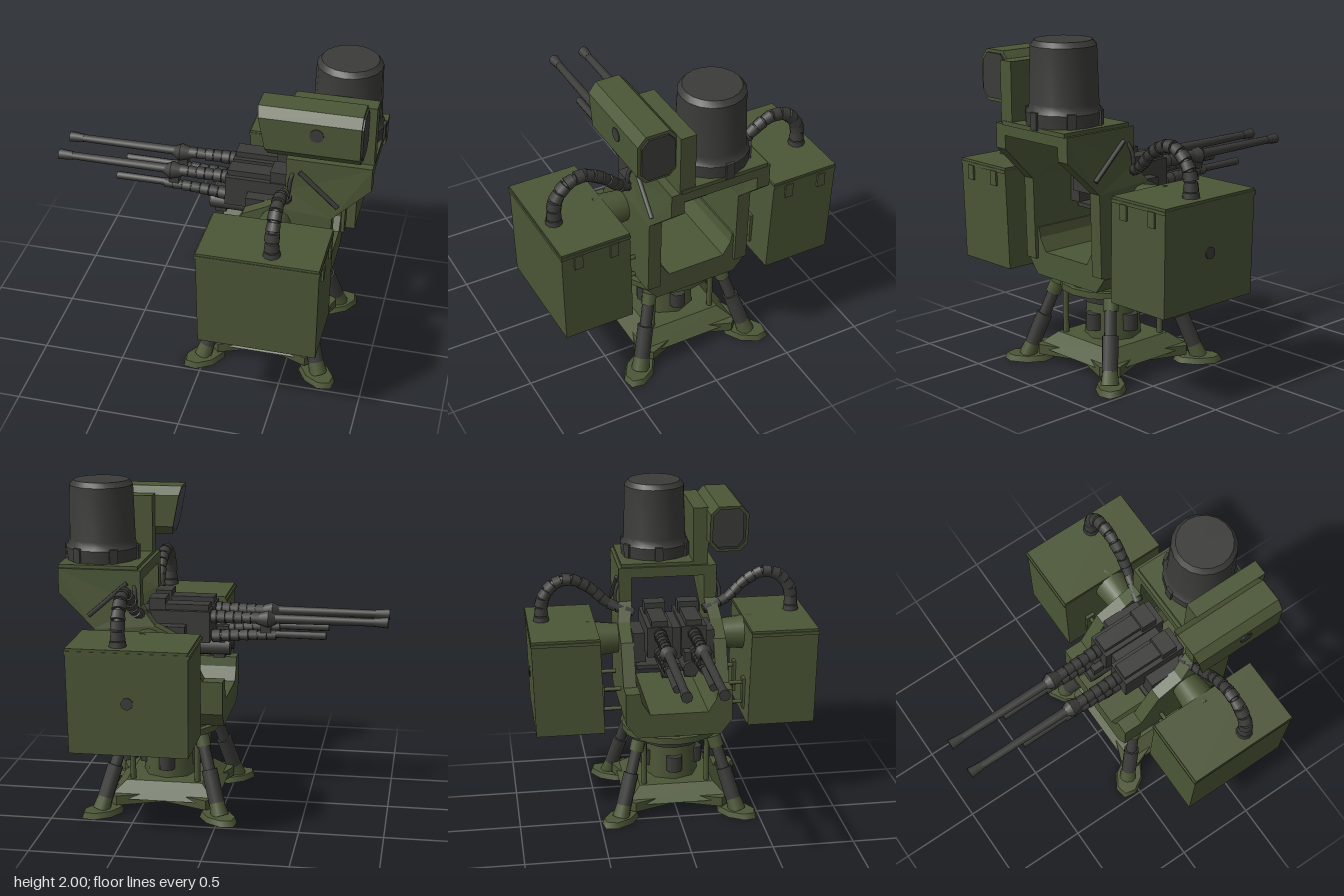
import * as THREE from 'three';
import { toCreasedNormals } from 'three/addons/utils/BufferGeometryUtils.js';

const V = (x, y, z) => new THREE.Vector3(x, y, z);

export function createModel() {
  const model = new THREE.Group();
  const olive = new THREE.MeshStandardMaterial({ color: 0x4b5636 });
  olive.name = 'olive paint';
  const dark = new THREE.MeshStandardMaterial({ color: 0x3b3b39 });
  dark.name = 'gunmetal';

  const add = (name, geo, mat, parent = model) => {
    const m = new THREE.Mesh(geo, mat);
    m.name = name;
    parent.add(m);
    return m;
  };
  // box given by its limits on each axis
  const box = (name, x0, x1, y0, y1, z0, z1, mat) => {
    const g = new THREE.BoxGeometry(x1 - x0, y1 - y0, z1 - z0);
    g.translate((x0 + x1) / 2, (y0 + y1) / 2, (z0 + z1) / 2);
    return add(name, g, mat);
  };
  // cylinder between two points, r0 at a and r1 at b
  const rod = (name, a, b, r0, r1, mat, sides = 10, parent = model) => {
    const d = b.clone().sub(a);
    const m = add(name, new THREE.CylinderGeometry(r1, r0, d.length(), sides), mat, parent);
    m.position.copy(a).addScaledVector(d, 0.5);
    m.quaternion.setFromUnitVectors(V(0, 1, 0), d.normalize());
    return m;
  };
  const shapeOf = (pts) => new THREE.Shape(pts.map(([a, b]) => new THREE.Vector2(a, b)));
  // [z, y] outline swept along x
  const sweepX = (pts, x0, x1, hole) => {
    const flip = (l) => l.map(([z, y]) => [-z, y]);
    const s = shapeOf(flip(pts));
    if (hole) s.holes.push(shapeOf(flip(hole)));
    return new THREE.ExtrudeGeometry(s, { depth: x1 - x0, bevelEnabled: false }).rotateY(Math.PI / 2).translate(x0, 0, 0);
  };
  // chain of uneven cuffs along a curve
  const ribbed = (name, pts, n, r0, r1) => {
    const group = new THREE.Group();
    group.name = name;
    model.add(group);
    const curve = new THREE.CatmullRomCurve3(pts);
    add('core', new THREE.TubeGeometry(curve, 32, Math.min(r0, r1) * 0.8, 8), dark, group);
    for (let i = 0; i < n; i++) {
      const a = curve.getPointAt(i / n), b = curve.getPointAt((i + 0.9) / n);
      const r = r0 + (r1 - r0) * (i / n);
      rod('cuff', a, b, r, r * (i % 2 ? 0.86 : 0.95), dark, 9, group);
    }
  };
  const CX = 0.355; // axis of the stand

  // Stand: star shaped plate with a raised deck
  const star = [];
  for (let i = 0; i < 4; i++) {
    const a = (i * Math.PI) / 2 + Math.PI / 4;
    for (const [da, r] of [[-0.13, 0.45], [0.13, 0.45], [Math.PI / 4, 0.25]])
      star.push([Math.cos(a + da) * r, Math.sin(a + da) * r]);
  }
  const plate = new THREE.ExtrudeGeometry(shapeOf(star), { depth: 0.06, bevelEnabled: false });
  plate.rotateX(-Math.PI / 2).translate(CX, 0.05, 0);
  add('basePlate', plate, olive);
  const deck = new THREE.CylinderGeometry(0.33, 0.47, 0.09, 4).rotateY(Math.PI / 4).translate(CX, 0.13, 0);
  add('baseDeck', deck.toNonIndexed(), olive).geometry.computeVertexNormals();

  // Feet, struts and posts at the four corners
  for (const sx of [-1, 1]) for (const sz of [-1, 1]) {
    const foot = add('footPad', new THREE.CylinderGeometry(0.11, 0.125, 0.035, 8), olive);
    foot.scale.set(1.2, 1, 0.72);
    foot.rotation.y = -sz * sx * Math.PI / 4;
    foot.position.set(CX + sx * 0.355, 0.018, sz * 0.37);
    const low = V(CX + sx * 0.355, 0.06, sz * 0.36), top = V(CX + sx * 0.235, 0.48, sz * 0.24);
    const at = (t) => low.clone().lerp(top, t);
    rod('footAnkle', at(-0.08), at(0.12), 0.055, 0.045, olive);
    rod('strutSleeve', at(0.1), at(0.55), 0.048, 0.048, dark);
    rod('strutRod', at(0.55), at(0.9), 0.036, 0.036, dark);
    rod('strutHinge', at(0.86), at(1.02), 0.045, 0.045, olive, 8);
    rod('deckPost', V(CX + sx * 0.2, 0.16, sz * 0.2), V(CX + sx * 0.2, 0.5, sz * 0.2), 0.018, 0.018, olive, 8);
  }

  // Drive unit inside the stand
  rod('driveHousing', V(CX, 0.17, 0), V(CX, 0.48, 0), 0.17, 0.15, olive, 8);
  for (let i = 0; i < 4; i++) {
    const a = (i * Math.PI) / 2;
    rod('driveMotor', V(CX + Math.cos(a) * 0.15, 0.23, Math.sin(a) * 0.15),
      V(CX + Math.cos(a) * 0.15, 0.33, Math.sin(a) * 0.15), 0.05, 0.05, dark, 8);
  }
  rod('driveCollar', V(CX, 0.4, 0), V(CX, 0.47, 0), 0.19, 0.2, dark, 12);
  rod('turntable', V(CX, 0.475, 0), V(CX, 0.515, 0), 0.315, 0.315, olive, 16);
  rod('turntableNeck', V(CX, 0.515, 0), V(CX, 0.565, 0), 0.28, 0.28, olive, 16);

  // Cradle: trough below, two side walls rising into the head
  add('cradleTrough', sweepX([[-0.26, 0.56], [0.26, 0.56], [0.33, 0.65], [0.33, 0.85], [0.24, 0.85], [0.23, 0.79],
    [0.18, 0.71], [-0.18, 0.71], [-0.23, 0.79], [-0.24, 0.85], [-0.33, 0.85], [-0.33, 0.65]], -0.02, 0.72), olive);
  const wall = [[-0.02, 0.66], [0.1, 0.85], [0.22, 1.1], [0.38, 1.18], [0.47, 1.29], [0.47, 1.5],
    [0.965, 1.5], [0.965, 1.36], [0.75, 1.15], [0.74, 0.66]];
  for (const s of [-1, 1]) {
    const g = new THREE.ExtrudeGeometry(shapeOf(wall), { depth: 0.08, bevelEnabled: false }).translate(0, 0, -0.04);
    const p = g.attributes.position;
    // walls lean inward towards the head
    for (let i = 0; i < p.count; i++)
      p.setZ(i, p.getZ(i) + s * (p.getY(i) > 1.19 ? 0.27 : 0.29));
    g.computeVertexNormals();
    add('cradleWall', g, olive);
    rod('trunnion', V(0.42, 1.07, s * 0.3), V(0.42, 1.07, s * 0.52), 0.09, 0.115, olive, 14);
    for (const x of [0.25, 0.57]) {
      for (const y of [0.66, 0.79]) rod('boxBracket', V(x, y, s * 0.31), V(x, y, s * 0.48), 0.014, 0.014, olive, 6);
      box('bracketFoot', x - 0.03, x + 0.03, 0.62, 0.82, s * 0.45 - 0.012, s * 0.45 + 0.012, olive);
    }
    const wire = new THREE.CatmullRomCurve3([V(0.52, 1.45, s * 0.27), V(0.5, 1.37, s * 0.325), V(0.49, 1.28, s * 0.33), V(0.46, 1.2, s * 0.27)]);
    add('headCable', new THREE.TubeGeometry(wire, 16, 0.012, 6), dark);
    rod('headStay', V(0.55, 1.43, s * 0.315), V(0.78, 1.23, s * 0.33), 0.014, 0.014, dark, 6);

    // Ammunition box, tapering slightly to the bottom
    const body = new THREE.BoxGeometry(0.7, 0.62, 0.42);
    const q = body.attributes.position;
    for (let i = 0; i < q.count; i++) if (q.getY(i) < 0) {
      q.setX(i, q.getX(i) * 0.985);
      q.setZ(i, s * q.getZ(i) > 0 ? s * 0.195 : -s * 0.23);
    }
    body.computeVertexNormals();
    add('ammoBox', body, olive).position.set(0.435, 0.87, s * 0.68);
    box('boxLid', 0.075, 0.79, 1.145, 1.165, s * 0.68 - 0.213, s * 0.68 + 0.213, olive);
    for (const z of [0.57, 0.79]) box('lidLatch', 0.77, 0.797, 1.06, 1.15, s * z - 0.025, s * z + 0.025, olive);

    // Feed hose arching from the box into the gun
    ribbed('feedHose', [V(0.5, 1.16, s * 0.8), V(0.5, 1.32, s * 0.79), V(0.5, 1.42, s * 0.71), V(0.5, 1.44, s * 0.61),
      V(0.5, 1.38, s * 0.49), V(0.49, 1.28, s * 0.38), V(0.45, 1.22, s * 0.22)], 15, 0.046, 0.032);
    rod('hoseSocket', V(0.5, 1.17, s * 0.8), V(0.5, 1.21, s * 0.8), 0.052, 0.046, dark);

    // Gun: barrel, flash hider, gas block, jacket and lower tube
    const z = s * 0.105;
    rod('barrel', V(-0.9, 1.195, z), V(-0.2, 1.195, z), 0.024, 0.03, dark);
    rod('flashHider', V(-0.975, 1.195, z), V(-0.89, 1.195, z), 0.034, 0.026, dark, 8);
    rod('gasBlock', V(-0.31, 1.19, z), V(-0.265, 1.19, z), 0.03, 0.055, dark, 8);
    rod('gasBlock', V(-0.265, 1.19, z), V(-0.2, 1.19, z), 0.055, 0.035, dark, 8);
    box('barrelLink', -0.28, -0.22, 1.09, 1.19, z - 0.022, z + 0.022, dark);
    ribbed('barrelJacket', [V(-0.21, 1.195, z), V(-0.05, 1.195, z), V(0.1, 1.195, z)], 6, 0.036, 0.045);
    rod('lowerTube', V(-0.61, 1.1, z), V(-0.3, 1.1, z), 0.024, 0.022, dark, 8);
    ribbed('lowerJacket', [V(-0.31, 1.095, z), V(-0.15, 1.09, z), V(0.08, 1.075, z)], 7, 0.03, 0.042);
    box('receiver', 0.08, 0.5, 1.05, 1.24, z - 0.078, z + 0.078, dark);
    box('receiverCover', 0.09, 0.4, 1.235, 1.275, z - 0.05, z + 0.05, dark);
    box('feedCover', 0.35, 0.45, 1.24, 1.31, z - 0.06, z + 0.07, dark);
    box('gunTrunnion', 0.22, 0.46, 0.97, 1.16, s * 0.215 - 0.04, s * 0.215 + 0.04, dark);
    rod('recoilBuffer', V(-0.03, 1.0, s * 0.07), V(0.42, 1.0, s * 0.07), 0.05, 0.055, dark, 8);
    box('bufferLug', 0.0, 0.07, 0.94, 1.1, s * 0.07 - 0.035, s * 0.07 + 0.035, dark);
  }
  box('gunBridge', 0.12, 0.44, 1.02, 1.22, -0.06, 0.06, dark);
  box('gunCradleBar', 0.2, 0.42, 0.93, 0.955, -0.235, 0.235, dark);
  add('boxPort', new THREE.CylinderGeometry(0.035, 0.035, 0.008, 14).rotateX(Math.PI / 2), dark)
    .position.set(0.435, 0.87, -0.886);

  // Head platform and radar drum
  box('headPlatform', 0.47, 0.965, 1.44, 1.505, -0.31, 0.31, olive);
  box('headDeck', 0.49, 0.97, 1.5, 1.525, -0.29, 0.25, olive);
  const drum = new THREE.LatheGeometry([[0, 1.5], [0.215, 1.5], [0.22, 1.6], [0.205, 1.62], [0.2, 1.65], [0.19, 1.97],
    [0.165, 2], [0, 2]].map(([r, y]) => new THREE.Vector2(r, y)), 18);
  add('radarDrum', toCreasedNormals(drum, 0.6), dark).position.set(0.755, 0, -0.045);
  for (let i = 0; i < 6; i++) {
    const a = (i * Math.PI) / 3;
    const lug = add('drumLug', new THREE.BoxGeometry(0.03, 0.1, 0.05), dark);
    lug.position.set(0.755 + Math.cos(a) * 0.212, 1.56, -0.045 + Math.sin(a) * 0.212);
    lug.rotation.y = -a;
  }

  // Sensor pod: hollow octagonal hood with a dark insert
  box('podMount', 0.49, 0.965, 1.5, 1.87, 0.165, 0.26, olive);
  const octagon = (k) => [[-1, -0.65], [-0.6, -1], [0.6, -1], [1, -0.65], [1, 0.65], [0.6, 1], [-0.6, 1], [-1, 0.65]]
    .map(([z, y]) => [0.37 + z * (0.12 - k), 1.762 + y * (0.15 - k)]);
  const hood = sweepX(octagon(0), 0.33, 0.915, octagon(0.018));
  const h = hood.attributes.position;
  for (let i = 0; i < h.count; i++) if (h.getX(i) < 0.5) h.setX(i, 0.33 + (1.912 - h.getY(i)) * 0.2);
  hood.computeVertexNormals();
  add('podHood', hood, olive);
  add('podInsert', sweepX(octagon(0.019), 0.42, 0.925), dark);
  add('podPort', new THREE.CylinderGeometry(0.04, 0.04, 0.008, 16).rotateX(Math.PI / 2), dark)
    .position.set(0.67, 1.79, 0.491);

  return model;
}
